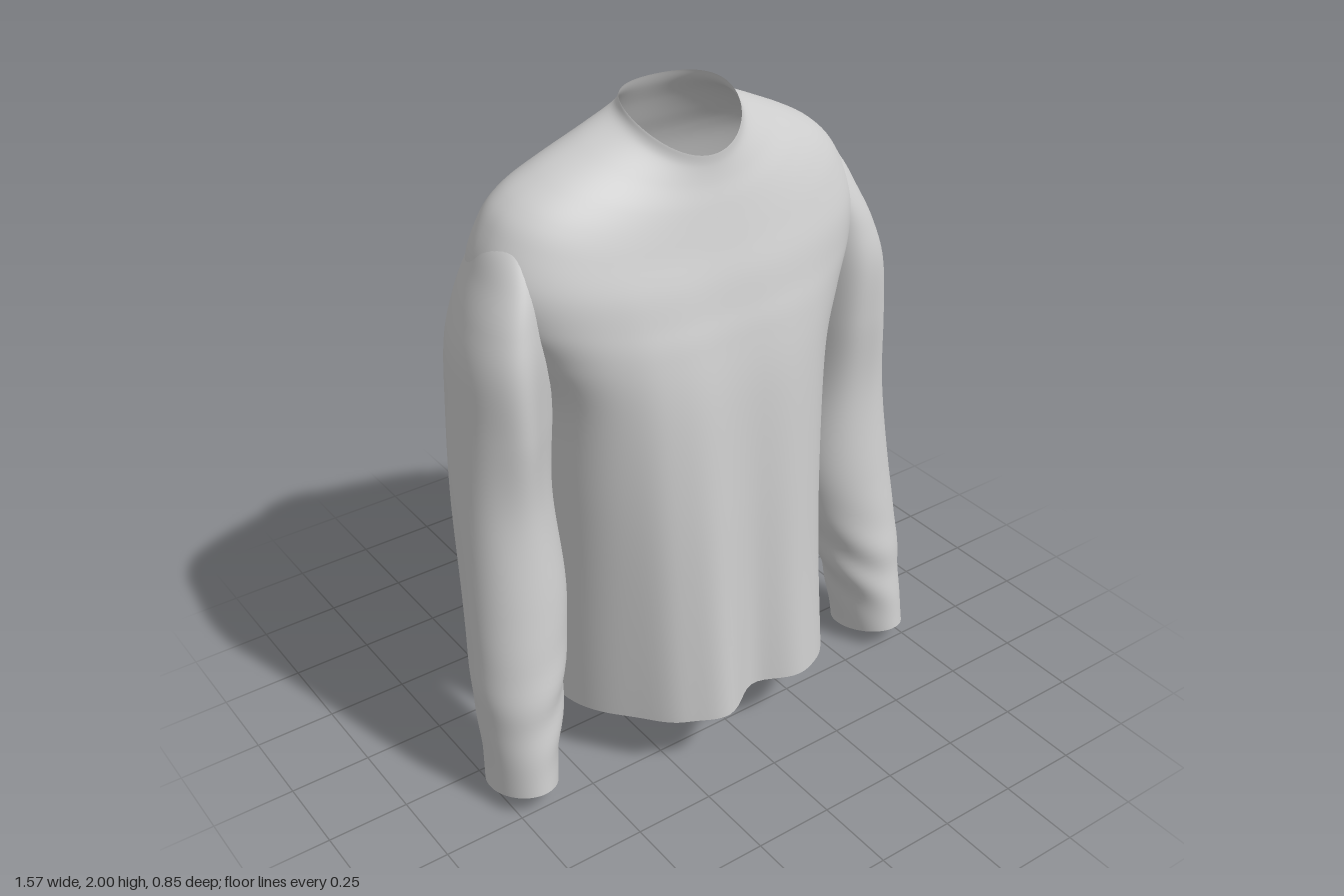
import * as THREE from 'three';

const material = new THREE.MeshStandardMaterial({ color: 0xcccccc, side: THREE.DoubleSide });

// Smoothly interpolates rows of section values; t runs 0..1
function sampleRows(rows, t) {
  const f = t * (rows.length - 1);
  const i = Math.min(Math.floor(f), rows.length - 2);
  const u = f - i;
  const row = (k) => rows[Math.max(0, Math.min(rows.length - 1, k))];
  return rows[0].map((_, c) => {
    const a = row(i - 1)[c], b = row(i)[c], d = row(i + 1)[c], e = row(i + 2)[c];
    const m0 = (d - a) / 2, m1 = (e - b) / 2;
    return b + u * m0 + u * u * (3 * (d - b) - 2 * m0 - m1) + u * u * u * (2 * (b - d) + m0 + m1);
  });
}

// Open tube of closed rings, listed from top to bottom
function loft(name, rings, sides, pointAt) {
  const positions = [], index = [];
  for (let i = 0; i <= rings; i++) {
    for (let j = 0; j < sides; j++) {
      positions.push(...pointAt(i / rings, (j / sides) * Math.PI * 2));
      if (i === rings) continue;
      const a = i * sides + j, b = i * sides + ((j + 1) % sides);
      index.push(a, b, a + sides, b, b + sides, a + sides);
    }
  }
  const geometry = new THREE.BufferGeometry();
  geometry.setAttribute('position', new THREE.Float32BufferAttribute(positions, 3));
  geometry.setIndex(index);
  geometry.computeVertexNormals();
  const mesh = new THREE.Mesh(geometry, material);
  mesh.name = name;
  return mesh;
}

const bump = (x, centre, width) => Math.exp(-(((x - centre) / width) ** 2));
const power = (v, p) => Math.sign(v) * Math.abs(v) ** (2 / p);

// Torso: centre x, half width, side z, front z, back z, side y, front y, back y, squareness
const torsoRows = [
  [0.02, 0.175, -0.02, 0.13, -0.165, 1.975, 1.865, 2.0, 2.0],
  [0.02, 0.2, -0.025, 0.132, -0.18, 1.94, 1.835, 1.965, 2.0],
  [0.015, 0.3, -0.04, 0.143, -0.215, 1.9, 1.79, 1.905, 2.0],
  [0.005, 0.42, -0.05, 0.162, -0.25, 1.85, 1.735, 1.835, 2.1],
  [0, 0.51, -0.06, 0.18, -0.285, 1.8, 1.68, 1.765, 2.2],
  [0, 0.568, -0.065, 0.2, -0.31, 1.735, 1.62, 1.69, 2.3],
  [0, 0.612, -0.065, 0.228, -0.335, 1.62, 1.54, 1.57, 2.4],
  [0, 0.595, -0.065, 0.25, -0.347, 1.5, 1.46, 1.48, 2.5],
  [0, 0.53, -0.06, 0.274, -0.358, 1.37, 1.37, 1.37, 2.7],
  [0, 0.468, -0.04, 0.305, -0.367, 1.2, 1.2, 1.2, 2.6],
  [0, 0.455, -0.02, 0.335, -0.372, 0.9, 0.9, 0.9, 2.3],
  [0.005, 0.455, -0.01, 0.36, -0.375, 0.55, 0.56, 0.54, 2.1],
  [0.015, 0.465, 0, 0.385, -0.375, 0.16, 0.207, 0.162, 2.0],
];

function torsoPoint(t, angle) {
  const [cx, w, cz, zf, zb, ys, yf, yb, p] = sampleRows(torsoRows, t);
  const c = Math.cos(angle), s = Math.sin(angle), front = s > 0;
  const x = cx + w * power(c, p);
  const y = ys + ((yf - yb) / 2) * s + ((yf + yb) / 2 - ys) * s * s;
  let z = cz + (front ? zf - cz : cz - zb) * power(s, p);
  // Drape folds deepen towards the hem
  if (front) {
    const drop = THREE.MathUtils.clamp((1.65 - y) / 1.45, 0, 1) ** 1.3;
    z += drop * s * (0.07 * bump(x, -0.15, 0.11) + 0.045 * bump(x, 0.2, 0.1)
      - 0.035 * bump(x, 0.02, 0.08) + 0.04 * bump(x, -0.28, 0.06) + 0.035 * bump(x, 0.31, 0.07));
  } else {
    const drop = THREE.MathUtils.smoothstep(-y, -1.75, -0.7);
    z += drop * s * (0.08 * bump(x, 0.18, 0.1) + 0.04 * bump(x, -0.2, 0.1)
      - 0.07 * bump(x, 0.02, 0.09) + 0.035 * bump(x, 0.3, 0.06));
  }
  return [x, y, z];
}

// Sleeve: y, outward x, z, half width, half depth, inward lean of the back
const sleeveRows = [
  [1.76, 0.475, -0.065, 0.03, 0.05, 0.0],
  [1.7, 0.515, -0.067, 0.065, 0.11, 0.02],
  [1.6, 0.54, -0.068, 0.088, 0.165, 0.04],
  [1.5, 0.566, -0.068, 0.102, 0.2, 0.06],
  [1.38, 0.585, -0.066, 0.115, 0.222, 0.07],
  [1.2, 0.595, -0.06, 0.122, 0.218, 0.07],
  [0.95, 0.611, -0.03, 0.132, 0.18, 0.05],
  [0.65, 0.616, 0.037, 0.149, 0.156, 0.02],
  [0.38, 0.647, 0.092, 0.135, 0.144, 0],
  [0.18, 0.67, 0.125, 0.107, 0.137, 0],
  [0.045, 0.682, 0.14, 0.097, 0.14, 0],
];

function sleevePoint(side, t, angle) {
  const [y, x, z, w, d, lean] = sampleRows(sleeveRows, t);
  const c = Math.cos(angle), s = Math.sin(angle);
  const inward = (1 - side * c) / 2;
  // Long folds below the armpit and slanted creases above the cuff
  const armpit = bump(y, 1.2, 0.3) * inward * 0.07 * Math.sin(5 * angle * side + 3 * y);
  const crease = bump(y, 0.3, 0.16) * (0.2 + 0.8 * inward) * 0.05
    * Math.sin(30 * y + 2 * side * c + 3 * s);
  const k = 1 + armpit + crease;
  const cuffTilt = 0.035 * s * THREE.MathUtils.smoothstep(t, 0.6, 1);
  const back = (lean * (s - 1)) / 2 + lean * 0.25 * (1 + side * c);
  return [side * (x + back) + w * c * k, y + cuffTilt - (side > 0 ? 0.01 : 0) * t, z + d * s * k];
}

export function createModel() {
  const shirt = new THREE.Group();
  shirt.name = 'longSleeveShirt';
  shirt.add(loft('torso', 110, 128, torsoPoint));
  for (const side of [1, -1]) {
    shirt.add(loft(side > 0 ? 'leftSleeve' : 'rightSleeve', 90, 64, (t, a) => sleevePoint(side, t, a)));
  }
  return shirt;
}
